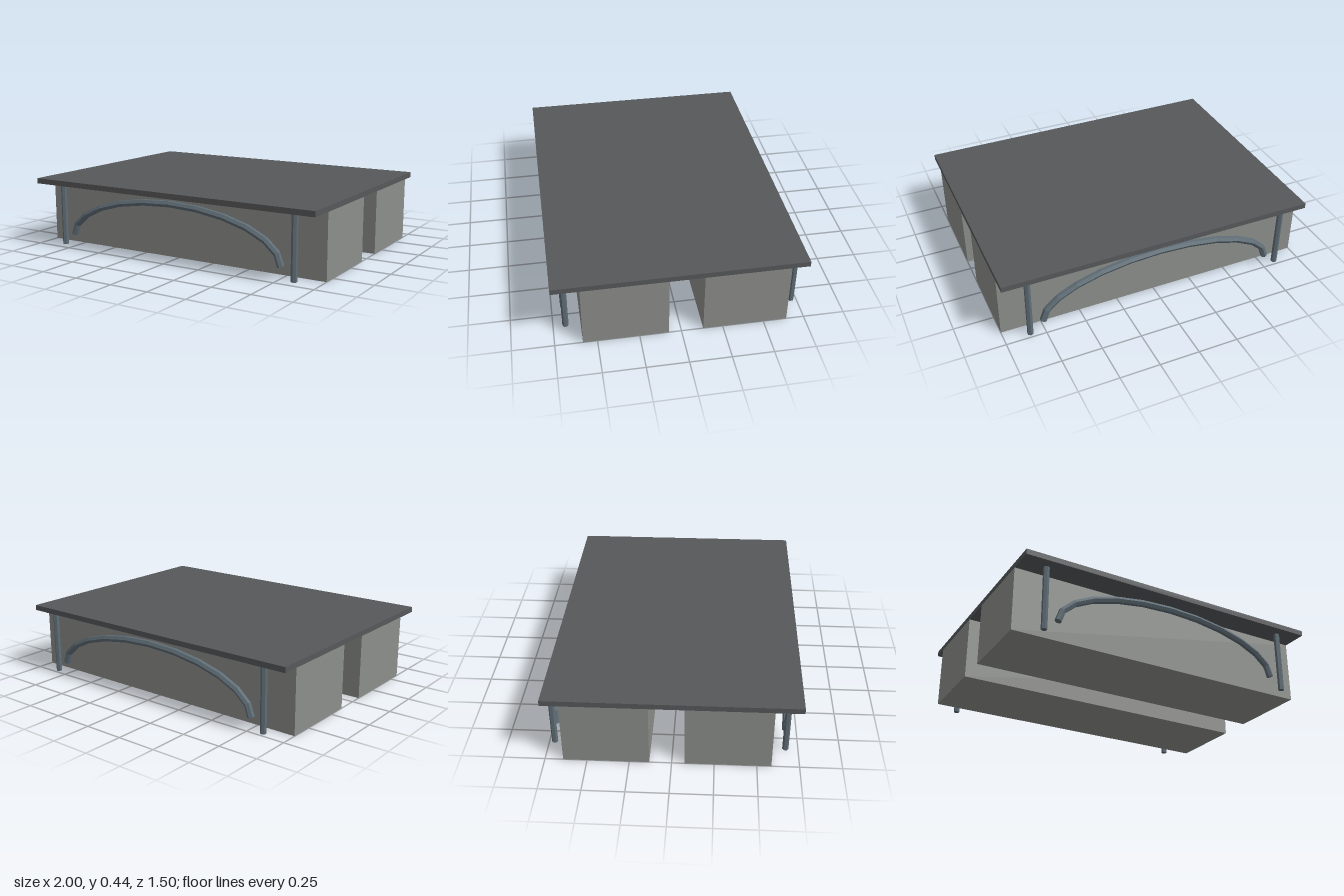
import * as THREE from 'three';

const deckMat = new THREE.MeshStandardMaterial({ color: 0x57585a });
const blockMat = new THREE.MeshStandardMaterial({ color: 0x8c8e8b });
const metalMat = new THREE.MeshStandardMaterial({ color: 0x5f6d76, flatShading: true });

const SEGMENTS = 12;
const RAIL_R = 0.0215;

// Half ellipse stepped by equal angles, with chord tangents at the ends
class ArchCurve extends THREE.Curve {
  getPoint(t, target = new THREE.Vector3()) {
    const a = Math.PI * t;
    return target.set(0.757 * Math.cos(a), 0.075 + 0.28 * Math.sin(a), 0);
  }
  getPointAt(u, target) {
    return this.getPoint(u, target);
  }
  getTangentAt(u, target = new THREE.Vector3()) {
    const before = this.getPoint(Math.max(0, u - 1 / SEGMENTS));
    const after = this.getPoint(Math.min(1, u + 1 / SEGMENTS));
    return target.copy(after).sub(before).normalize();
  }
}

function addMesh(parent, name, geometry, material, x, y, z) {
  const mesh = new THREE.Mesh(geometry, material);
  mesh.name = name;
  mesh.position.set(x, y, z);
  parent.add(mesh);
}

// Hexagonal arched rail with closed ends
function makeArch(name, z) {
  const arch = new THREE.Group();
  arch.name = name;
  const curve = new ArchCurve();
  addMesh(arch, 'archRail', new THREE.TubeGeometry(curve, SEGMENTS, RAIL_R, 6, false), metalMat, 0, 0, z);
  for (const end of [0, 1]) {
    const p = curve.getPoint(end);
    const out = curve.getTangentAt(end).multiplyScalar(end ? 1 : -1);
    const cap = new THREE.CircleGeometry(RAIL_R, 6).rotateY(Math.PI / 2).rotateZ(Math.atan2(out.y, out.x));
    addMesh(arch, 'archEnd', cap, metalMat, p.x, p.y, z);
  }
  return arch;
}

export function createModel() {
  const model = new THREE.Group();
  model.name = 'deckOnBlocks';

  // Flat deck slab
  addMesh(model, 'deck', new THREE.BoxGeometry(2, 0.034, 1.5), deckMat, 0, 0.418, 0);

  // Two long supporting blocks with a gap between them
  for (const [name, front, back] of [['frontBlock', 0.585, 0.075], ['backBlock', -0.132, -0.642]]) {
    addMesh(model, name, new THREE.BoxGeometry(2, 0.401, front - back), blockMat, 0, 0.2005, (front + back) / 2);
  }

  // Posts and arched rail along each long side
  for (const [side, z] of [['front', 0.675], ['back', -0.717]]) {
    for (const x of [-0.841, 0.841]) {
      addMesh(model, side + (x > 0 ? 'LeftPost' : 'RightPost'),
        new THREE.CylinderGeometry(0.019, 0.019, 0.401, 6), metalMat, x, 0.2005, z);
    }
    model.add(makeArch(side + 'Arch', z));
  }
  return model;
}
